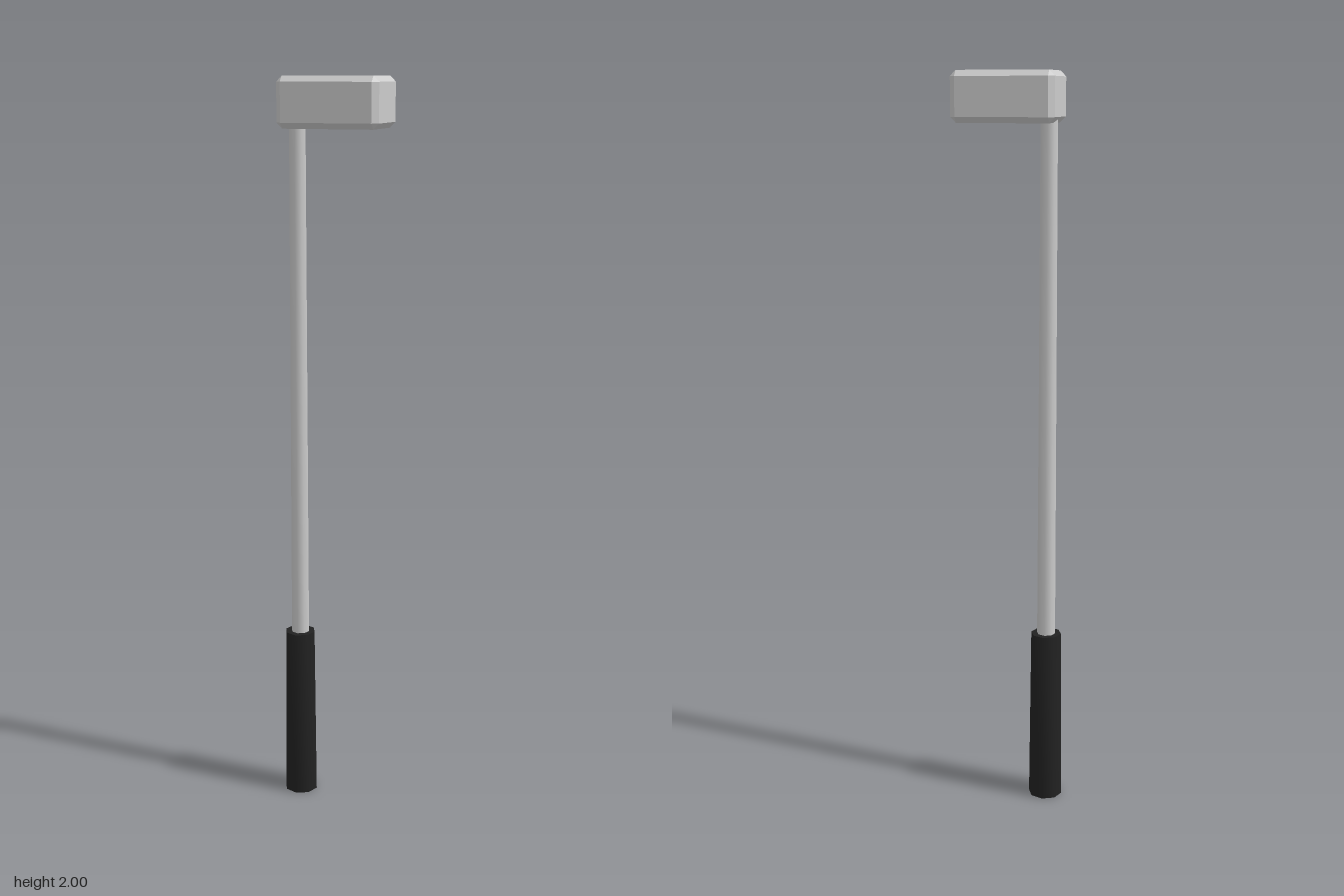
import * as THREE from 'three';
import { toCreasedNormals } from 'three/addons/utils/BufferGeometryUtils.js';
import { ConvexGeometry } from 'three/addons/geometries/ConvexGeometry.js';

const SIDES = 8;
const HANDLE_X = -0.098;

// Box with every edge and corner cut by the same chamfer
function chamferedBox(width, height, depth, c) {
  const x = width / 2, y = height / 2, z = depth / 2;
  const points = [];
  for (const sx of [-1, 1]) for (const sy of [-1, 1]) for (const sz of [-1, 1]) {
    points.push(
      new THREE.Vector3(sx * x, sy * (y - c), sz * (z - c)),
      new THREE.Vector3(sx * (x - c), sy * y, sz * (z - c)),
      new THREE.Vector3(sx * (x - c), sy * (y - c), sz * z)
    );
  }
  return new ConvexGeometry(points);
}

export function createModel() {
  const model = new THREE.Group();
  model.name = 'hammer';
  const metal = new THREE.MeshStandardMaterial({ color: 0xcccccc });
  const rubber = new THREE.MeshStandardMaterial({ color: 0x222222 });

  function add(name, geometry, material, x, y) {
    const mesh = new THREE.Mesh(geometry, material);
    mesh.name = name;
    mesh.position.set(x, y, 0);
    model.add(mesh);
  }

  // Head, offset to one side of the handle
  add('head', chamferedBox(0.27, 0.13, 0.18, 0.015), metal, 0.008, 1.935);

  // Tapered shaft running from the butt end up into the head
  const shaftLength = 1.9;
  add('shaft', new THREE.CylinderGeometry(0.0225, 0.0265, shaftLength, SIDES), metal, HANDLE_X, shaftLength / 2);

  // Grip sleeve, open around the shaft and wider at the butt
  const sleeve = [[0.0265, 0], [0.047, 0], [0.042, 0.485], [0.025, 0.485]]
    .map(([r, y]) => new THREE.Vector2(r, y));
  const grip = toCreasedNormals(new THREE.LatheGeometry(sleeve, SIDES), Math.PI / 3);
  add('grip', grip, rubber, HANDLE_X, 0);

  return model;
}
